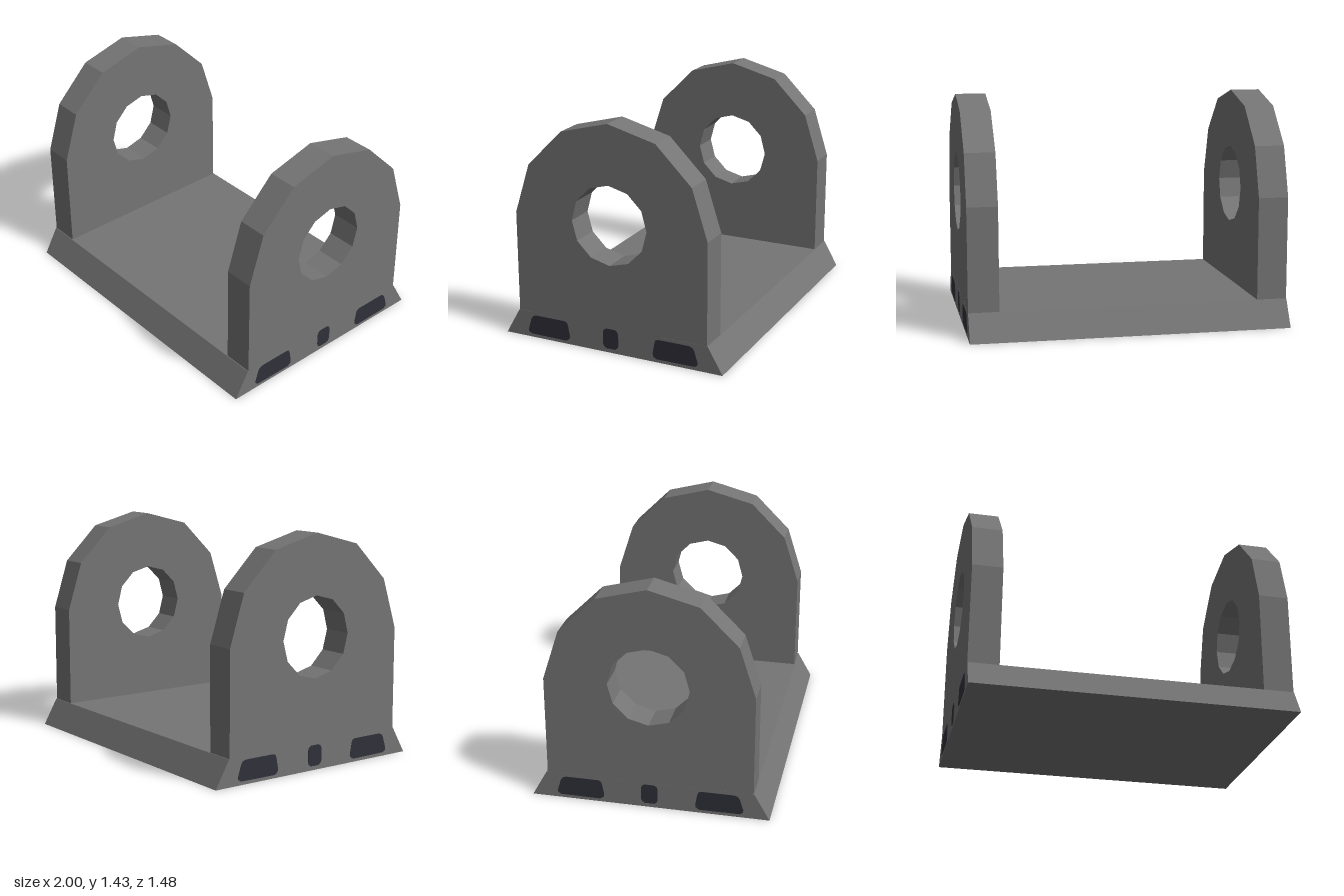
import * as THREE from 'three';

const body = new THREE.MeshStandardMaterial({ color: 0x757575 });
body.name = 'bracketGrey';
const dark = new THREE.MeshStandardMaterial({ color: 0x30303a });
dark.name = 'darkInset';

const BASE_TOP = 0.167, PLATE = 0.19, HOLE_Y = 0.813;

// Extrudes a profile drawn in (z, y) so that it runs from x0 to x1.
function extrudeAlongX(shape, x0, x1) {
  const geometry = new THREE.ExtrudeGeometry(shape, { depth: x1 - x0, bevelEnabled: false });
  geometry.rotateY(-Math.PI / 2); // profile x becomes z, depth runs to -x
  geometry.translate(x1, 0, 0);
  return geometry;
}

const polygon = (points) => new THREE.Shape(points.map(([z, y]) => new THREE.Vector2(z, y)));

// Closes a half outline by mirroring it in z.
const mirrored = (half) => polygon([...half, ...half.map(([z, y]) => [-z, y]).reverse()]);

function addPart(parent, name, geometry, material) {
  const mesh = new THREE.Mesh(geometry, material);
  mesh.name = name;
  parent.add(mesh);
  return mesh;
}

// Upright ear with a faceted arch and a twelve-sided bore.
function earShape() {
  const half = [[0.64, 0.005], [0.64, 0.81], [0.54, 1.123], [0.31, 1.353]];
  const shape = polygon([
    ...half, [0, 1.435], ...half.map(([z, y]) => [-z, y]).reverse(),
  ]);
  const bore = [];
  for (let i = 0; i < 12; i++) {
    const a = (i / 12) * Math.PI * 2;
    bore.push(new THREE.Vector2(0.25 * Math.sin(a), HOLE_Y + 0.25 * Math.cos(a)));
  }
  shape.holes.push(new THREE.Path(bore));
  return shape;
}

// Rounded slots along the foot of the ear.
const sideSlot = [
  [0.56, 0.022], [0.578, 0.034], [0.58, 0.05], [0.558, 0.122], [0.546, 0.14], [0.525, 0.148],
  [0.32, 0.148], [0.303, 0.14], [0.297, 0.122], [0.285, 0.055], [0.288, 0.036], [0.31, 0.02],
];
const centreSlot = [
  [0.03, 0.026], [0.046, 0.038], [0.052, 0.055], [0.052, 0.126], [0.046, 0.144], [0.03, 0.155],
];

function makeSide() {
  const side = new THREE.Group();
  addPart(side, 'ear', extrudeAlongX(earShape(), 1 - PLATE, 0.9995), body);
  const slots = [
    ['frontSlot', polygon(sideSlot)],
    ['centreSlot', mirrored(centreSlot)],
    ['rearSlot', polygon(sideSlot.map(([z, y]) => [-z, y]))],
  ];
  for (const [name, shape] of slots) addPart(side, name, extrudeAlongX(shape, 0.997, 1.002), dark);
  return side;
}

export function createModel() {
  const model = new THREE.Group();
  model.name = 'pivotBracket';

  // Base with sloping front and back edges
  const base = mirrored([[0.74, 0], [0.645, BASE_TOP]]);
  addPart(model, 'base', extrudeAlongX(base, -1, 1), body);

  // The two ears, one turned half round
  for (const [name, angle] of [['leftSide', 0], ['rightSide', Math.PI]]) {
    const side = makeSide();
    side.name = name;
    side.rotation.y = angle;
    model.add(side);
  }
  return model;
}
